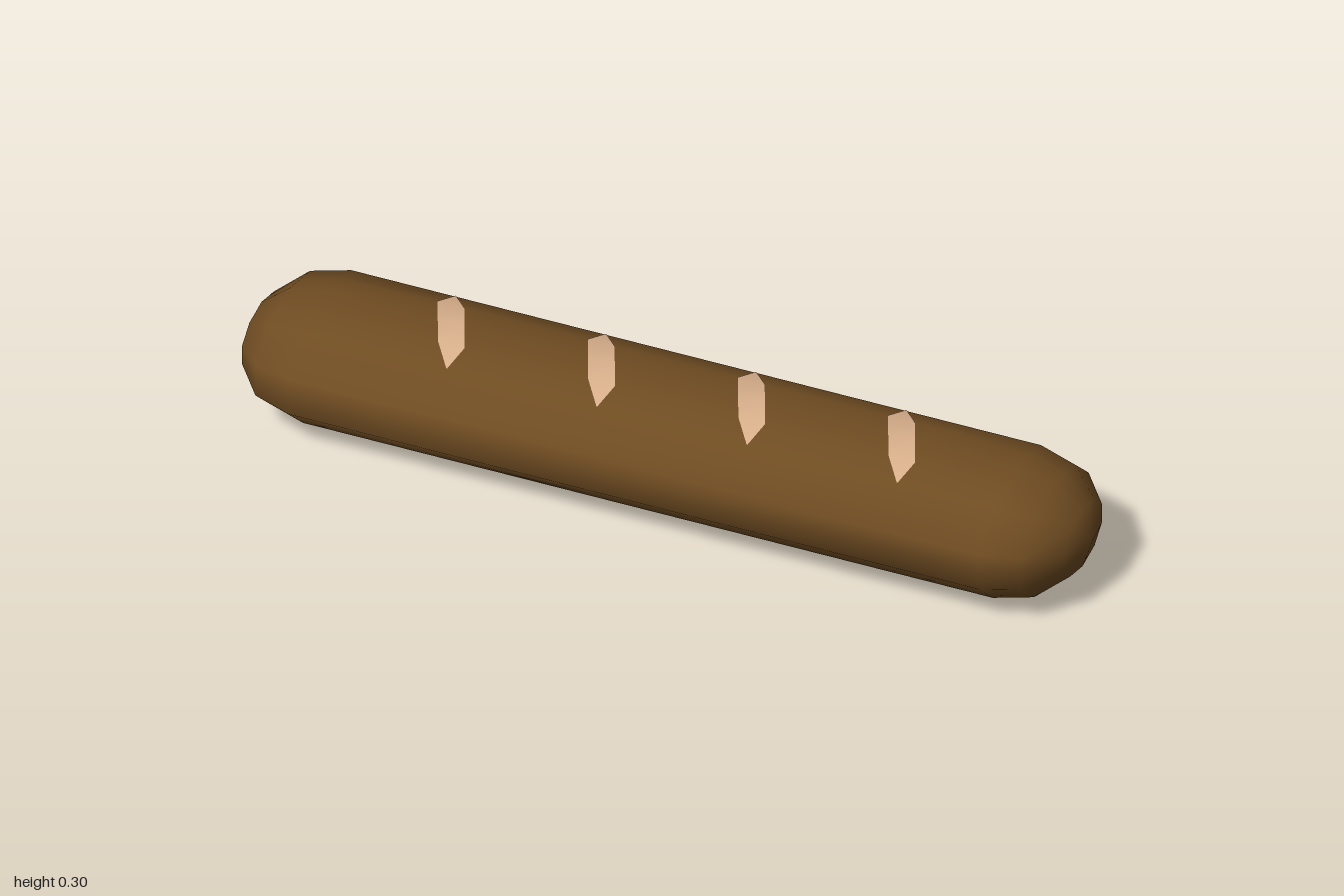
import * as THREE from 'three';

const MID_Y = 0.148, RY = 0.148, RZ = 0.22;

function makeGeometry(points, index) {
  const g = new THREE.BufferGeometry();
  g.setAttribute('position', new THREE.Float32BufferAttribute(points, 3));
  g.setIndex(index);
  g.computeVertexNormals();
  return g;
}

// Ten-sided oval section [y, z], with an extra point on each top facet
function section(bulge) {
  const ring = [];
  for (let i = 0; i < 10; i++) {
    const a = i * Math.PI / 5;
    if (i === 1) ring.push([0.132 + bulge, 0.07]);
    if (i === 0) ring.push([RY, 0]);
    else ring.push([RY * Math.cos(a), RZ * Math.sin(a)]);
  }
  ring.push([0.132 + bulge, -0.07]);
  return ring;
}

// Loaf: rings along x, rounded in three steps to a point at each end
function loafGeometry() {
  // [x, scale, bulge of the scored top]
  const half = [[0.976, 0.5, 0], [0.91, 0.866, 0], [0.82, 1, 0], [0.6, 1, 0.008]];
  const stations = [
    ...half.map(([x, s, b]) => [-x, s, b]),
    ...half.slice().reverse(),
  ];
  const points = [], index = [], n = 12;
  for (const [x, s, b] of stations) {
    for (const [y, z] of section(b)) points.push(x, MID_Y + y * s, z * s);
  }
  const last = (stations.length - 1) * n, poleA = stations.length * n, poleB = poleA + 1;
  points.push(-1, MID_Y, 0, 1, MID_Y, 0);
  for (let j = 0; j < n; j++) {
    const k = (j + 1) % n;
    for (let i = 0; i < last; i += n) {
      index.push(i + j, i + k, i + n + j, i + k, i + n + k, i + n + j);
    }
    index.push(poleA, k, j, poleB, last + j, last + k);
  }
  return makeGeometry(points, index);
}

// Slanted score that follows the top of the crust
function scoreGeometry() {
  // [z, y, left x, right x]
  const rows = [
    [-0.13, 0.268, -0.048, -0.046],
    [-0.07, 0.288, -0.063, 0],
    [0, 0.296, -0.032, 0.032],
    [0.07, 0.288, 0, 0.063],
    [0.13, 0.268, 0.046, 0.048],
  ];
  const points = [], index = [];
  rows.forEach(([z, y, l, r], i) => {
    points.push(l, y + 0.0015, z, r, y + 0.0015, z);
    const a = i * 2;
    if (i < rows.length - 1) index.push(a, a + 2, a + 1, a + 1, a + 2, a + 3);
  });
  return makeGeometry(points, index);
}

export function createModel() {
  const group = new THREE.Group();
  group.name = 'breadLoaf';

  const crust = new THREE.MeshStandardMaterial({ color: 0x70501f });
  crust.color.set(0x6f4c22);
  const crumb = new THREE.MeshStandardMaterial({ color: 0xd9b08c, side: THREE.DoubleSide });

  const loaf = new THREE.Mesh(loafGeometry(), crust);
  loaf.name = 'crust';
  group.add(loaf);

  // Four evenly spaced scores
  const scoreShape = scoreGeometry();
  for (let i = 0; i < 4; i++) {
    const score = new THREE.Mesh(scoreShape, crumb);
    score.name = `score${i + 1}`;
    score.position.x = -0.525 + i * 0.357;
    group.add(score);
  }
  return group;
}
